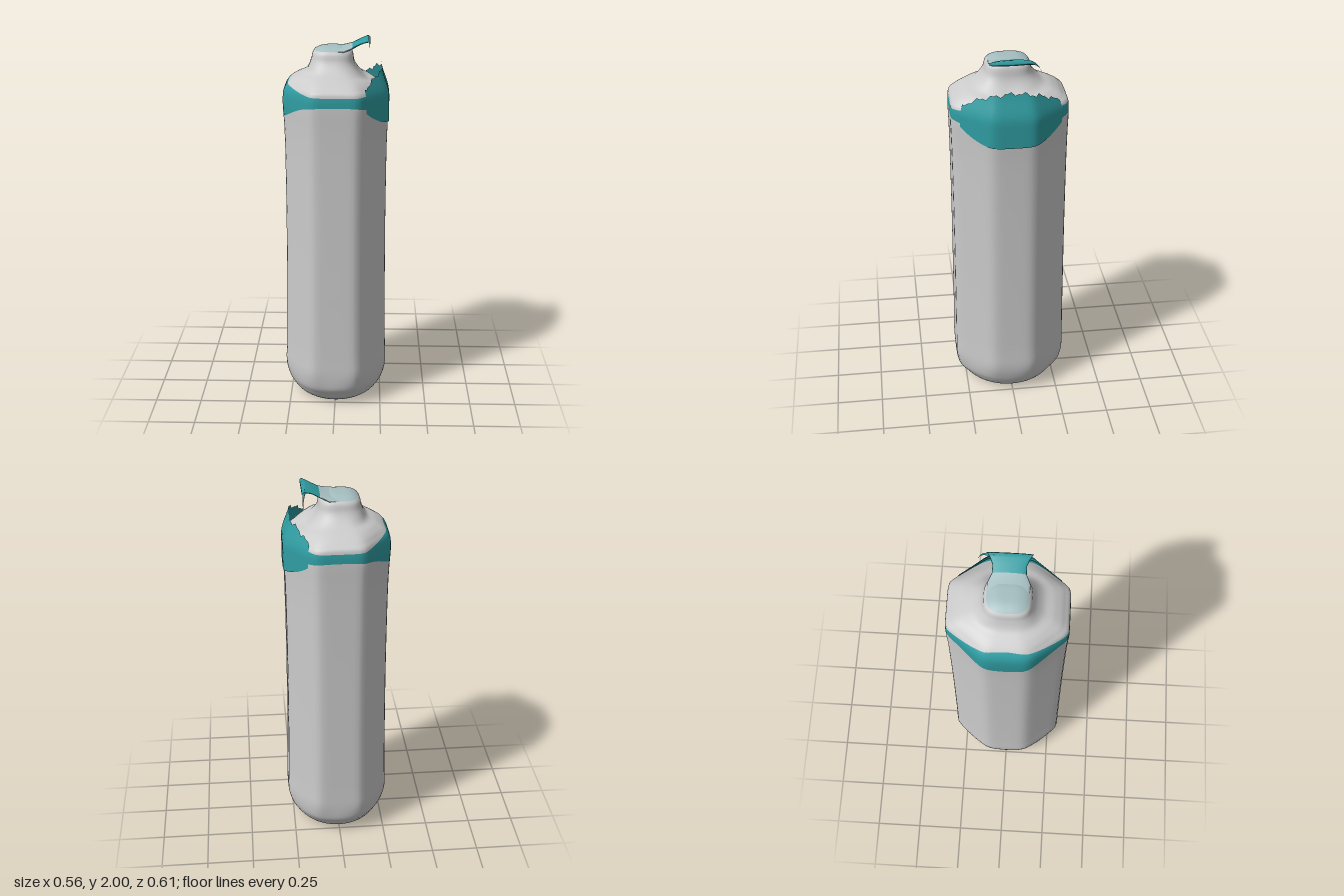
import * as THREE from 'three';

const GREY = 0xcccccc, TEAL = 0x2f9da2, PALE = 0xa6bfc1;
const TAU = Math.PI * 2;
const { lerp, smoothstep } = THREE.MathUtils;

// Grid surface from a rule point(u, v); u wraps round when closed
function surface(nu, nv, point, closed = true) {
  const pos = [], idx = [], cols = closed ? nu : nu + 1;
  for (let j = 0; j <= nv; j++)
    for (let i = 0; i < cols; i++) pos.push(...point(i / nu, j / nv));
  for (let j = 0; j < nv; j++)
    for (let i = 0; i < nu; i++) {
      const a = j * cols + i, b = j * cols + (i + 1) % cols;
      idx.push(a, a + cols, b, b, a + cols, b + cols);
    }
  const g = new THREE.BufferGeometry();
  g.setAttribute('position', new THREE.Float32BufferAttribute(pos, 3));
  g.setIndex(idx);
  g.computeVertexNormals();
  return g;
}

// Outline at an angle: soft octagon on the body, oval at the foot, rounded square at the neck
const SIDES = [[1, 0, 0.28], [0, 1, 0.306], [0.78, 0.62, 0.287], [0.78, -0.62, 0.287]];
function outline(angle, y) {
  const c = Math.cos(angle), s = Math.sin(angle);
  const sum = SIDES.reduce((t, [x, z, h]) => t + Math.pow(Math.abs(c * x + s * z) / h, 34), 0);
  const oval = n => Math.pow(Math.abs(c / 0.278) ** n + Math.abs(s / 0.303) ** n, -1 / n);
  const body = lerp(oval(2), Math.pow(sum, -1 / 34), smoothstep(y, 0, 0.22));
  return lerp(body, oval(3), smoothstep(y, 1.76, 1.87));
}

// Upright profile: outline scale against height
const profile = new THREE.SplineCurve([
  [0.71, 0], [0.8, 0.02], [0.89, 0.055], [0.96, 0.105], [1, 0.18], [0.985, 0.32], [0.97, 0.6],
  [0.96, 1], [0.965, 1.4], [0.98, 1.56], [1, 1.66], [0.985, 1.73], [0.9, 1.775], [0.75, 1.806],
  [0.58, 1.828], [0.47, 1.858], [0.405, 1.89], [0.38, 1.92], [0.32, 1.94], [0.18, 1.954], [0, 1.956],
].map(p => new THREE.Vector2(...p)));
profile.arcLengthDivisions = 800;

function profileAtHeight(y) {
  let lo = 0, hi = 1;
  for (let k = 0; k < 22; k++) {
    const mid = (lo + hi) / 2;
    if (profile.getPointAt(mid).y < y) lo = mid; else hi = mid;
  }
  return lo;
}

// Shell between two heights, each of which may vary with the angle
function shell(low, high, rows) {
  const ends = [];
  return surface(80, rows, (u, v) => {
    const a = u * TAU, k = Math.round(u * 80), c = Math.cos(a);
    ends[k] ??= [profileAtHeight(low(a)), profileAtHeight(high(a))];
    const p = profile.getPointAt(lerp(...ends[k], v));
    const s = Math.max(p.x, 0), r = outline(a, p.y);
    const sz = s + 0.6 * (1 - s) * smoothstep(s, 0.9, 0.97);   // waist shows mostly across x
    const shift = -0.018 * smoothstep(p.y, 1.81, 1.89);         // neck leans off centre
    const scoop = 0.04 * Math.max(c, 0) ** 2
      * smoothstep(p.y, 1.7, 1.79) * (1 - smoothstep(p.y, 1.82, 1.93));  // hollow under the lever
    return [shift + s * r * c, p.y - scoop, sz * r * Math.sin(a)];
  });
}

export function createModel() {
  const model = new THREE.Group();
  const add = (name, geometry, color, side = THREE.FrontSide) => {
    const mesh = new THREE.Mesh(geometry, new THREE.MeshStandardMaterial({ color, side }));
    mesh.name = name;
    model.add(mesh);
  };

  // Body, coloured band, shoulder with neck, and cap
  const bandLow = a => 1.685 - 0.105 * Math.abs(Math.cos(a)) ** 3;
  const bandHigh = a => 1.735 + 0.045 * Math.abs(Math.cos(a)) ** 3;
  add('body', shell(() => 0, bandLow, 90), GREY);
  add('band', shell(bandLow, bandHigh, 14), TEAL);
  add('shoulderAndNeck', shell(bandHigh, () => 1.936, 40), GREY);
  add('cap', shell(() => 1.936, () => 1.9565, 14), PALE);

  // Base plate
  const base = new THREE.Shape(Array.from({ length: 80 }, (_, i) => {
    const a = i / 80 * TAU, r = 0.71 * outline(a, 0);
    return new THREE.Vector2(r * Math.cos(a), r * Math.sin(a));
  }));
  add('base', new THREE.ShapeGeometry(base).rotateX(Math.PI / 2), TEAL);

  // Torn guard standing up behind the shoulder on the left side
  add('guard', surface(48, 14, (u, v) => {
    const a = lerp(-1.02, 1.02, u), edge = Math.abs(a) / 1.02;
    const ragged = 0.007 * Math.sin(a * 19) + 0.005 * Math.sin(a * 43);
    const top = 1.852 - 0.085 * edge ** 2 + ragged;
    const bottom = 1.57 + 0.08 * edge ** 3;
    const y = lerp(bottom, top, v);
    const r = outline(a, 1.7) * (1.003 - 0.16 * smoothstep(y, 1.7, 1.88));
    return [r * Math.cos(a), y, r * Math.sin(a)];
  }, false), TEAL, THREE.DoubleSide);

  // Spout lever: flattened section swept outwards [x, y, half width, half thickness]
  const sections = [
    [-0.03, 1.935, 0.1, 0.014], [0.04, 1.938, 0.104, 0.017], [0.085, 1.953, 0.083, 0.014],
    [0.12, 1.972, 0.082, 0.012], [0.15, 1.985, 0.095, 0.011], [0.17, 1.99, 0.108, 0.01],
    [0.178, 1.982, 0.112, 0.008], [0.178, 1.98, 0, 0],
  ];
  const lever = (from, to) => surface(24, to - from, (u, v) => {
    const [x, y, w, h] = sections[from + Math.round(v * (to - from))];
    const a = u * TAU;
    return [x, y + h * Math.sin(a), w * Math.cos(a)];
  });
  add('leverRoot', lever(0, 2), PALE);
  add('lever', lever(2, 7), TEAL);

  // Drooping barb on the lever's rear corner
  const droop = new THREE.CatmullRomCurve3([
    [0.165, 1.985, -0.08], [0.17, 1.98, -0.112], [0.174, 1.96, -0.138], [0.176, 1.918, -0.155],
  ].map(p => new THREE.Vector3(...p)));
  add('leverBarb', surface(10, 12, (u, v) => {
    const c = droop.getPoint(v), a = u * TAU, r = 0.014 * (1 - v * 0.9);
    return [c.x + 0.6 * r * Math.sin(a), c.y + r * Math.cos(a), c.z + r * Math.cos(a) * 0.5];
  }), TEAL, THREE.DoubleSide);

  return model;
}
